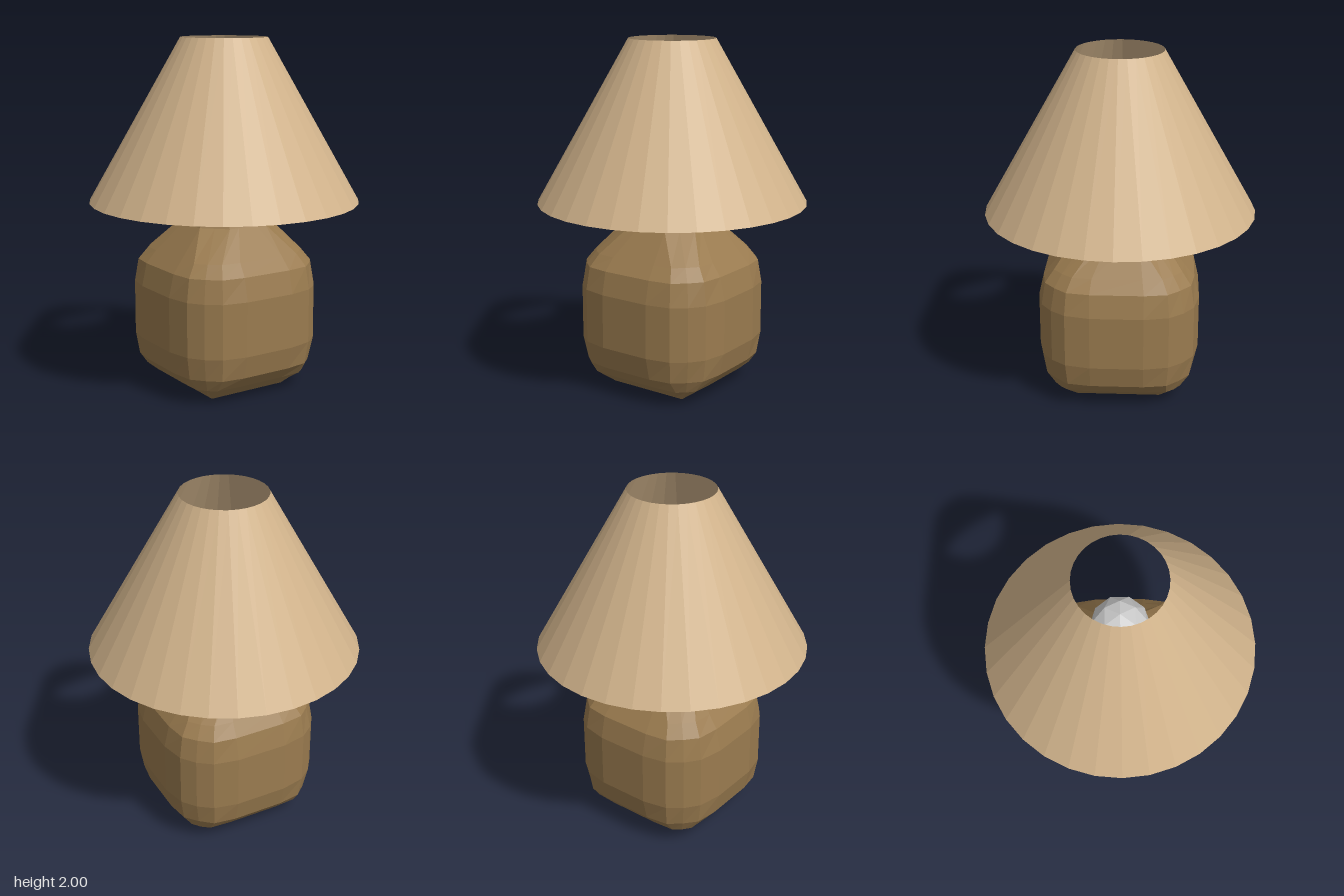
import * as THREE from 'three';

// One ring of the base: a square with softened corners, 5 points per side.
// a, b: points along a face as [offset, distance]; c: corner half width.
function ring([y, a, b, c]) {
  const side = [[-b[0], b[1]], [-a[0], a[1]], a, b, [c, c]];
  const points = [];
  for (let k = 0; k < 4; k++) {
    for (const [px, pz] of side) {
      let x = px, z = pz;
      for (let r = 0; r < k; r++) [x, z] = [z, -x];
      points.push([x, y, z]);
    }
  }
  return points;
}

// Skin a stack of rings, closed at both ends.
function loft(sections) {
  const rings = sections.map(ring);
  const n = rings[0].length;
  const pos = [];
  const tri = (...corners) => corners.forEach((p) => pos.push(...p));
  const last = rings.length - 1;
  for (let j = 0; j < n; j++) {
    const k = (j + 1) % n;
    for (let i = 0; i < last; i++) {
      const lo = rings[i], hi = rings[i + 1];
      tri(lo[j], lo[k], hi[k]);
      tri(lo[j], hi[k], hi[j]);
    }
    tri([0, sections[0][0], 0], rings[0][k], rings[0][j]);
    tri([0, sections[last][0], 0], rings[last][j], rings[last][k]);
  }
  const geometry = new THREE.BufferGeometry();
  geometry.setAttribute('position', new THREE.Float32BufferAttribute(pos, 3));
  geometry.computeVertexNormals();
  return geometry;
}

export function createModel() {
  const model = new THREE.Group();
  const add = (name, geometry, color, y = 0, side = THREE.FrontSide) => {
    const material = new THREE.MeshStandardMaterial({ color, flatShading: true, side });
    const mesh = new THREE.Mesh(geometry, material);
    mesh.name = name;
    mesh.position.y = y;
    model.add(mesh);
  };

  // Faceted body: square foot, rounded block, sloping shoulders and tapering neck
  add('base', loft([
    [0.00, [0.10, 0.24], [0.19, 0.24], 0.24],
    [0.09, [0.15, 0.37], [0.28, 0.36], 0.325],
    [0.16, [0.15, 0.43], [0.28, 0.41], 0.35],
    [0.29, [0.15, 0.46], [0.29, 0.43], 0.37],
    [0.60, [0.15, 0.46], [0.29, 0.43], 0.37],
    [0.73, [0.15, 0.43], [0.28, 0.41], 0.35],
    [0.80, [0.14, 0.372], [0.25, 0.36], 0.31],
    [0.96, [0.06, 0.24], [0.12, 0.24], 0.18],
    [1.28, [0.04, 0.075], [0.075, 0.075], 0.075],
  ]), 0x9a7b4f);

  // Low-poly bulb
  add('bulb', new THREE.IcosahedronGeometry(0.165, 1), 0xcccccc, 1.39);

  // Open conical shade
  add('shade', new THREE.CylinderGeometry(0.245, 0.768, 0.92, 32, 1, true), 0xd2b48c, 1.54, THREE.DoubleSide);

  return model;
}
